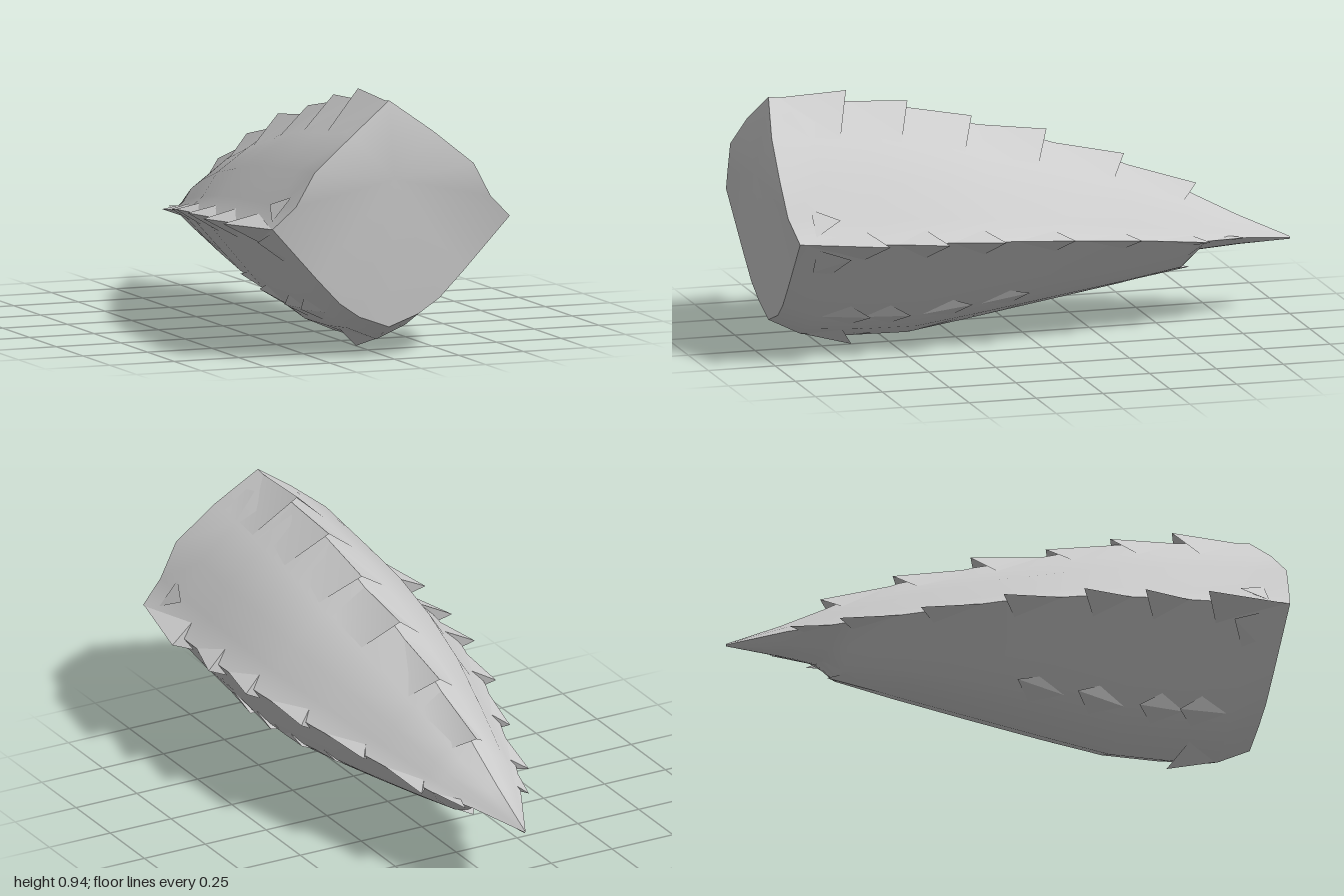
import * as THREE from 'three';
import { mergeVertices, toCreasedNormals } from 'three/addons/utils/BufferGeometryUtils.js';

// Stations along the body: z, ridge height, half width, side height, keel height
const STATIONS = [
  [0.97, 0.93, 0.46, 0.49, 0.11],
  [0.83, 0.915, 0.455, 0.475, 0.05],
  [0.64, 0.89, 0.45, 0.465, 0.033],
  [0.43, 0.857, 0.44, 0.455, 0.03],
  [0.2, 0.785, 0.418, 0.44, 0.065],
  [-0.08, 0.703, 0.358, 0.41, 0.11],
  [-0.36, 0.605, 0.268, 0.37, 0.155],
  [-0.58, 0.5, 0.197, 0.34, 0.195],
  [-0.64, 0.465, 0.175, 0.33, 0.262],
  [-0.8, 0.38, 0.1, 0.315, 0.27],
  [-1, 0.285, 0.004, 0.28, 0.275],
];

// Half section from ridge to keel: x as a share of the half width,
// y as a share from the side height up to the ridge (+) or down to the keel (-)
const PROFILE = [
  [0, 1], [0.34, 0.74], [0.67, 0.46], [0.82, 0.18], [1, 0],
  [0.62, -0.5], [0.42, -0.75], [0.25, -0.89], [0, -1],
];
const RIM_Z = [0.95, 0.985, 1, 0.99, 0.97, 0.96, 0.955, 0.95, 0.95];
const HALF = PROFILE.length;

function sectionPoint([z, top, width, side, keel], k) {
  const [px, py] = PROFILE[k];
  return new THREE.Vector3(px * width, side + py * (py > 0 ? top - side : side - keel), z);
}

// Point on the body surface at any z, part of the way from one profile point to another
function surfacePoint(z, k, toward = k, share = 0) {
  let i = 0;
  while (i < STATIONS.length - 2 && STATIONS[i + 1][0] > z) i++;
  const a = STATIONS[i], b = STATIONS[i + 1];
  const t = THREE.MathUtils.clamp((z - a[0]) / (b[0] - a[0]), 0, 1);
  const station = a.map((v, j) => v + (b[j] - v) * t);
  return sectionPoint(station, k).lerp(sectionPoint(station, toward), share);
}

function makeGeometry(positions, index) {
  const g = new THREE.BufferGeometry();
  g.setAttribute('position', new THREE.Float32BufferAttribute(positions, 3));
  if (index) g.setIndex(index);
  return g;
}

export function createModel() {
  const model = new THREE.Group();
  const material = new THREE.MeshStandardMaterial({ color: 0xcccccc, side: THREE.DoubleSide });
  const spikeMaterial = new THREE.MeshStandardMaterial({ color: 0xcccccc, side: THREE.DoubleSide, flatShading: true });

  function addMesh(name, geometry, meshMaterial) {
    const mesh = new THREE.Mesh(geometry, meshMaterial);
    mesh.name = name;
    model.add(mesh);
  }

  // Body: closed loops of points lofted from the rim to the tip
  const n = (HALF - 1) * 2;
  const positions = [], index = [];
  STATIONS.forEach((station, row) => {
    for (let j = 0; j < n; j++) {
      const k = j < HALF ? j : n - j;
      const p = sectionPoint(station, k);
      positions.push(j < HALF ? p.x : -p.x, p.y, row === 0 ? RIM_Z[k] : p.z);
      if (row === 0) continue;
      const a = (row - 1) * n + j, b = (row - 1) * n + (j + 1) % n;
      index.push(a, a + n, b, b, a + n, b + n);
    }
  });
  addMesh('body', toCreasedNormals(mergeVertices(makeGeometry(positions, index)), 0.8), material);

  // Front cap: a shallow fan over the rim
  const capPoints = positions.slice(0, n * 3).concat(0, 0.65, 1);
  const capIndex = [];
  for (let j = 0; j < n; j++) capIndex.push(j, (j + 1) % n, n);
  addMesh('frontCap', toCreasedNormals(makeGeometry(capPoints, capIndex), 0.7), material);

  // Swept-back spike: a long root, two base corners and a tip
  function addSpike(name, root, cornerA, cornerB, tip, mirrored) {
    for (const s of mirrored ? [1, -1] : [1]) {
      const faces = [root, cornerA, tip, root, tip, cornerB, cornerA, cornerB, tip];
      const g = makeGeometry(faces.flatMap(p => [p.x * s, p.y, p.z]));
      g.computeVertexNormals();
      addMesh(name, g, spikeMaterial);
    }
  }
  const mirror = p => new THREE.Vector3(-p.x, p.y, p.z);

  // Ridge scales: a tent lying along the ridge, open at the back in a chevron
  for (const [z, y] of [[0.66, 0.935], [0.43, 0.882], [0.19, 0.81], [-0.09, 0.742], [-0.38, 0.632], [-0.65, 0.505]]) {
    const start = Math.min(z + 0.26, 0.95);
    const tip = new THREE.Vector3(0, y, z);
    const corner = surfacePoint(z + 0.065, 1, 0, 0.04);
    const shoulder = surfacePoint(start, 1, 0, 0.04);
    const root = surfacePoint(start, 0);
    const [cornerR, shoulderR] = [mirror(corner), mirror(shoulder)];
    const points = [root, shoulder, corner, tip, shoulderR, cornerR];
    addMesh('ridgeScale', toCreasedNormals(makeGeometry(points.flatMap(p => p.toArray()),
      [0, 1, 2, 0, 2, 3, 0, 5, 4, 0, 3, 5]), 0.3), material);
  }

  // Side spikes: tip x, y, z and length
  for (const [x, y, z, length] of [
    [0.52, 0.472, 0.65, 0.31], [0.5, 0.458, 0.42, 0.18], [0.47, 0.448, 0.2, 0.19], [0.4, 0.42, -0.08, 0.22],
    [0.3, 0.378, -0.36, 0.22], [0.22, 0.335, -0.64, 0.22], [0.13, 0.322, -0.8, 0.15],
  ]) {
    const upper = surfacePoint(z + 0.06, 4, 3, 0.55);
    const lower = surfacePoint(z + 0.06, 4, 5, 0.3);
    addSpike('sideSpike', surfacePoint(z + length, 4), upper, lower, new THREE.Vector3(x, y, z), true);
  }

  // Lower spikes on the flanks: tip x, y, z
  for (const [x, y, z] of [[0.21, 0.142, 0.63], [0.21, 0.14, 0.48], [0.212, 0.165, 0.25], [0.195, 0.19, 0.03]]) {
    const upper = surfacePoint(z + 0.08, 6, 5, 0.45);
    const lower = surfacePoint(z + 0.06, 6, 7, 0.6);
    addSpike('flankSpike', surfacePoint(z + 0.18, 6), upper, lower, new THREE.Vector3(x, y, z), true);
  }

  // Keel spikes underneath: tip y, z and length
  for (const [y, z, length] of [[0, 0.64, 0.2], [0.198, -0.625, 0.2]]) {
    const corner = surfacePoint(z + 0.06, 7, 8, 0.2);
    addSpike('keelSpike', surfacePoint(z + length, 8), corner, mirror(corner), new THREE.Vector3(0, y, z), false);
  }

  // Small collar spikes above and below the front corner
  addSpike('upperCollarSpike', surfacePoint(0.9, 3, 2, 0.25), surfacePoint(0.9, 3, 4, 0.7),
    surfacePoint(0.86, 3, 4, 0.2), new THREE.Vector3(0.4, 0.555, 0.8), true);
  addSpike('lowerCollarSpike', surfacePoint(0.9, 4, 5, 0.1), surfacePoint(0.89, 4, 5, 0.6),
    surfacePoint(0.82, 4, 5, 0.6), new THREE.Vector3(0.435, 0.415, 0.77), true);
  return model;
}
